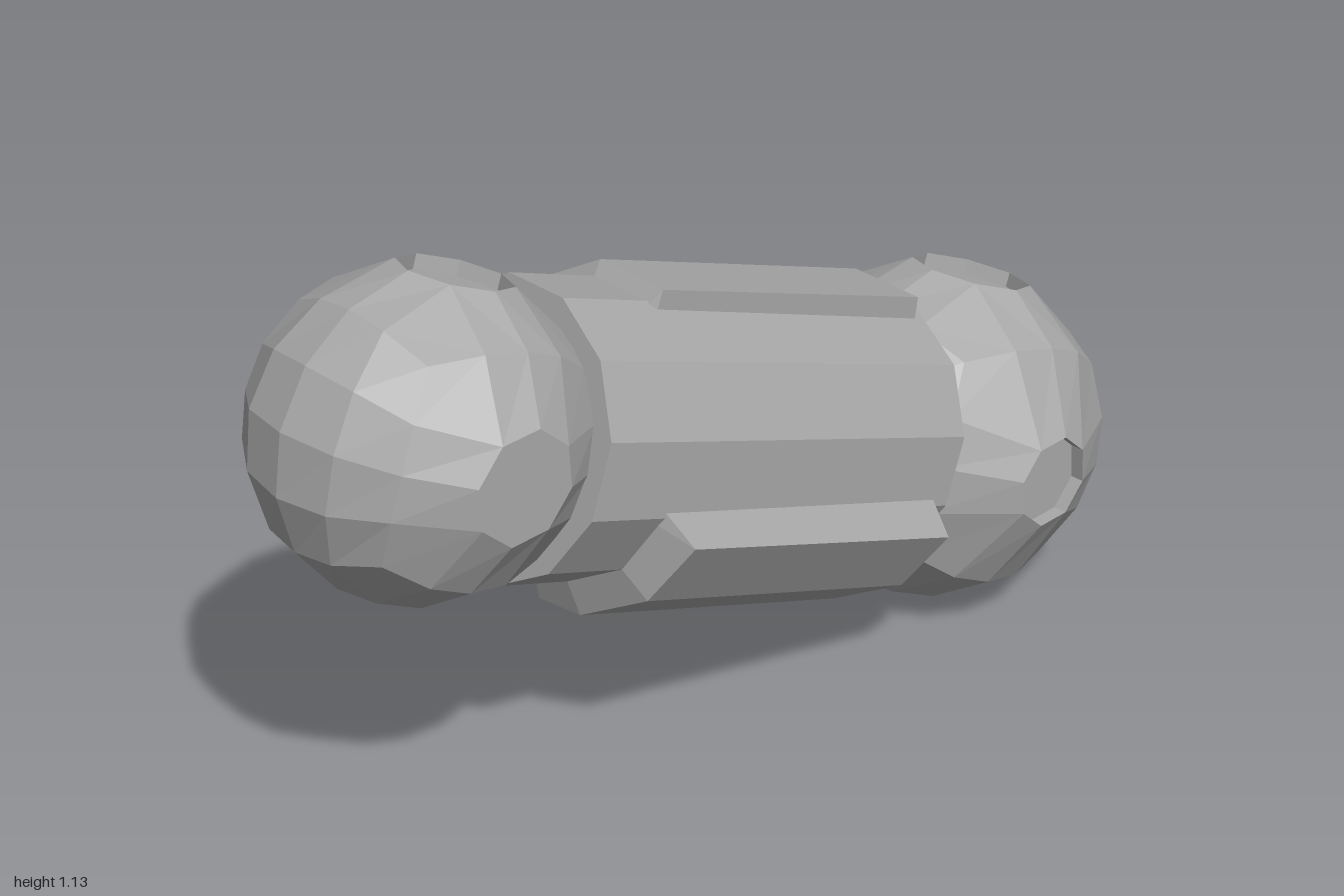
import * as THREE from 'three';

const gray = new THREE.MeshStandardMaterial({ color: 0xa8a8a8, flatShading: true });
gray.name = 'plain gray';

const AXES = [[1, 0, 0], [-1, 0, 0], [0, 1, 0], [0, -1, 0], [0, 0, 1], [0, 0, -1]]
  .map(a => new THREE.Vector3(...a));

function part(name, geometry) {
  const mesh = new THREE.Mesh(geometry, gray);
  mesh.name = name;
  return mesh;
}

// Faceted ball from a cube grid. rims: per side, octagon radius; holes: per side, recess depth (0 = flat facet)
function ball(name, R, rims, depths) {
  const group = new THREE.Group();
  group.name = name;
  const geo = new THREE.BoxGeometry(2, 2, 2, 4, 4, 4);
  const pos = geo.attributes.position;
  const p = new THREE.Vector3();
  for (let i = 0; i < pos.count; i++) {
    const face = Math.floor(i / 25), ix = i % 5, iy = Math.floor((i % 25) / 5);
    p.fromBufferAttribute(pos, i);
    p.set(...p.toArray().map(v => Math.tan(v * Math.PI / 4))).normalize();
    const n = AXES[face], rim = rims[face];
    if (rim && ix > 0 && ix < 4 && iy > 0 && iy < 4) {
      const h = Math.sqrt(1 - (rim / R) ** 2);
      p.addScaledVector(n, -p.dot(n));
      if (p.length() > 0.01) p.setLength(rim / R);
      p.addScaledVector(n, h);
    }
    p.multiplyScalar(R);
    pos.setXYZ(i, p.x, p.y, p.z);
  }
  // leave out the middle quads where a recess goes
  const src = geo.index.array, index = [];
  for (let q = 0; q < src.length / 6; q++) {
    const face = Math.floor(q / 16), ix = q % 4, iy = Math.floor((q % 16) / 4);
    const middle = ix > 0 && ix < 3 && iy > 0 && iy < 3;
    if (!(middle && depths[face])) index.push(...src.slice(q * 6, q * 6 + 6));
  }
  geo.setIndex(index);
  geo.clearGroups();
  group.add(part(name + 'Shell', geo));

  // octagonal recesses
  AXES.forEach((n, f) => {
    if (!depths[f]) return;
    const r = rims[f], h = Math.sqrt(R * R - r * r), d = depths[f];
    const profile = [[r, h], [r, h - d], [0, h - d]].map(a => new THREE.Vector2(...a));
    const recess = part('octagonRecess', new THREE.LatheGeometry(profile, 8));
    recess.quaternion.setFromUnitVectors(new THREE.Vector3(0, 1, 0), n);
    group.add(recess);
  });
  return group;
}

// Curved raised panel with bevelled edges; angles in degrees from the top towards +x
function panel(name, angles, inner, outer, t0, t1, edge, bevel) {
  const last = angles.length - 1;
  const columns = [
    [angles[0], inner],
    ...angles.map((a, i) => [i === 0 ? a + edge[0] : i === last ? a - edge[1] : a, outer]),
    [angles[last], inner],
  ];
  const rows = [[t0, false], [t0 + 0.01, true], [t1 - bevel, true], [t1, false]];
  const verts = [], index = [], w = columns.length;
  for (const [t, raised] of rows) {
    for (const [deg, r] of columns) {
      const a = THREE.MathUtils.degToRad(deg), radius = raised ? r : inner;
      verts.push(Math.sin(a) * radius, Math.cos(a) * radius, t);
    }
  }
  for (let j = 0; j < rows.length - 1; j++) {
    for (let i = 0; i < w - 1; i++) {
      const a = j * w + i, b = a + 1, c = a + w, d = c + 1;
      index.push(a, c, b, b, c, d);
    }
  }
  const geo = new THREE.BufferGeometry();
  geo.setAttribute('position', new THREE.Float32BufferAttribute(verts, 3));
  geo.setIndex(index);
  geo.computeVertexNormals();
  return part(name, geo);
}

export function createModel() {
  const model = new THREE.Group();
  model.name = 'limbSegment';

  // everything is built along local z, from the rear joint to the front joint
  const rear = new THREE.Vector3(-0.022, 0.355, -0.648);
  const front = new THREE.Vector3(0.047, 0.808, 0.685);
  const length = rear.distanceTo(front);
  const limb = new THREE.Group();
  limb.name = 'limb';
  limb.position.copy(rear);
  limb.lookAt(front);
  model.add(limb);

  // joints
  limb.add(ball('rearJoint', 0.357, [0.095, 0.095, 0.125, 0.125, 0, 0], [0.03, 0.03, 0.03, 0.03, 0, 0]));
  const frontJoint = ball('frontJoint', 0.317, [0.11, 0.11, 0.11, 0.11, 0, 0], [0, 0, 0.03, 0.03, 0, 0]);
  frontJoint.position.z = length;
  limb.add(frontJoint);

  // twelve-sided tube between the joints
  const t0 = 0.225, t1 = length - 0.2;
  const tube = new THREE.CylinderGeometry(0.288, 0.28, t1 - t0, 12, 1, false, Math.PI / 12);
  tube.rotateX(Math.PI / 2);
  tube.translate(0, 0, (t0 + t1) / 2);
  limb.add(part('tube', tube));

  // raised panels
  limb.add(panel('upperPanel', [-93, -75, -45, -15, 20], 0.27, 0.318, 0.25, 1.0, [2, 3], 0.02));
  limb.add(panel('lowerPanel', [102, 135, 165, 194], 0.275, 0.352, 0.26, 1.03, [7, 10], 0.045));

  return model;
}
